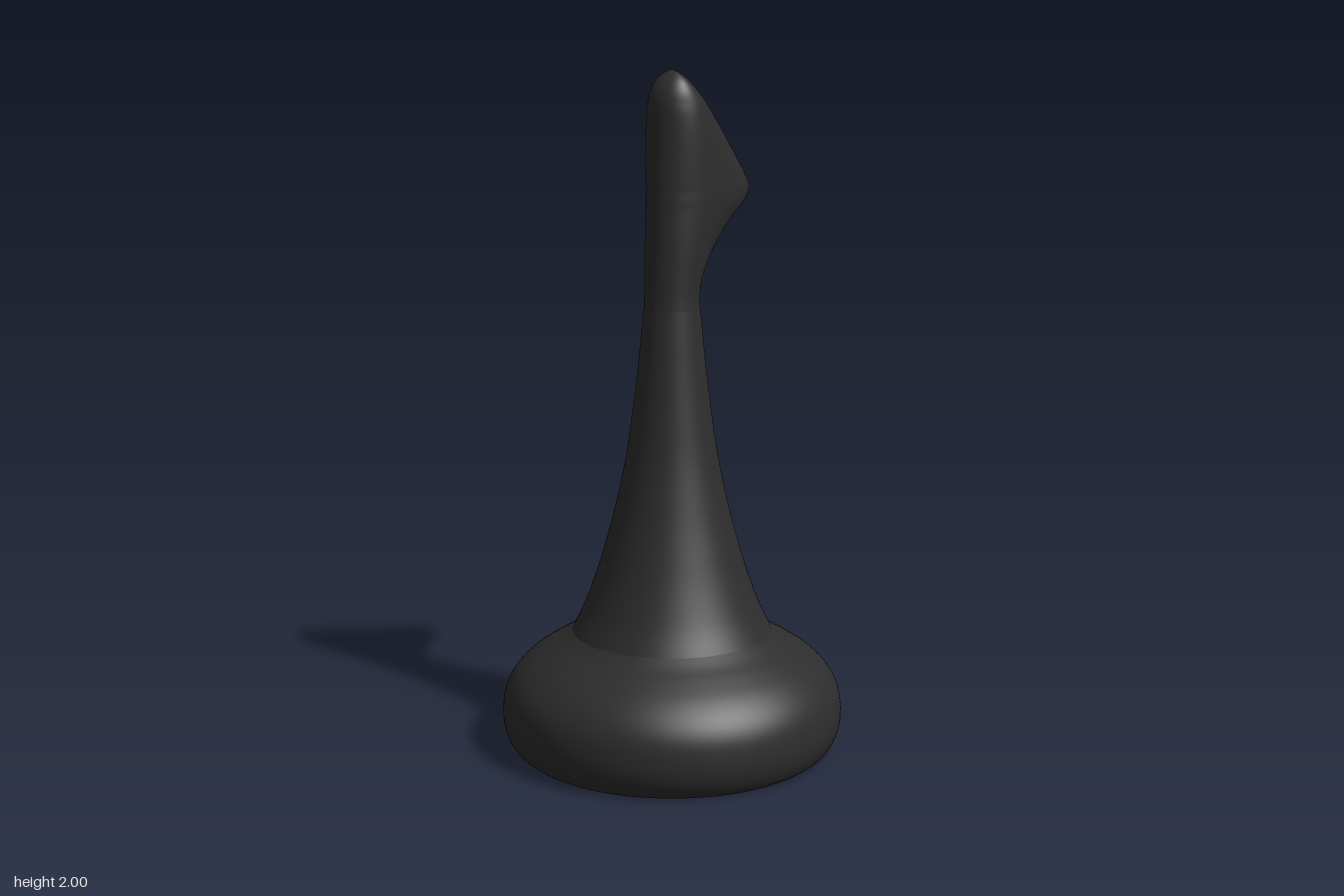
import * as THREE from 'three';

const black = new THREE.MeshStandardMaterial({ color: 0x2d2d2d });
black.name = 'matte black';

// Revolved part with a smooth profile of [radius, height] points
function turned(name, profile, foot = []) {
  const curve = new THREE.SplineCurve(profile.map(p => new THREE.Vector2(...p)));
  const points = [...foot.map(p => new THREE.Vector2(...p)), ...curve.getPoints(48)];
  const mesh = new THREE.Mesh(new THREE.LatheGeometry(points, 96), black);
  mesh.name = name;
  return mesh;
}

// Egg-shaped rings stacked upward: [y, front z, back z, half width]
function buildHead() {
  const sections = [
    [1.31, 0.082, -0.082, 0.082], [1.36, 0.079, -0.08, 0.081],
    [1.41, 0.077, -0.09, 0.084], [1.46, 0.075, -0.121, 0.088],
    [1.52, 0.073, -0.178, 0.092], [1.57, 0.071, -0.24, 0.095],
    [1.61, 0.07, -0.298, 0.097], [1.635, 0.07, -0.32, 0.098],
    [1.66, 0.069, -0.325, 0.098], [1.69, 0.069, -0.306, 0.098],
    [1.76, 0.067, -0.247, 0.097], [1.84, 0.066, -0.172, 0.093],
    [1.9, 0.064, -0.112, 0.085], [1.94, 0.055, -0.072, 0.072],
    [1.97, 0.038, -0.04, 0.053], [1.99, 0.018, -0.015, 0.028],
    [2.0, 0.005, 0.001, 0.003],
  ];
  const spine = new THREE.CatmullRomCurve3(sections.map(s => new THREE.Vector3(s[1], s[0], s[2])));
  const girth = new THREE.CatmullRomCurve3(sections.map(s => new THREE.Vector3(s[3], s[0], 0)));
  const rings = 80, sides = 64;
  const positions = [], index = [];
  for (let i = 0; i <= rings; i++) {
    const t = i / rings;
    const p = spine.getPoint(t);
    const width = girth.getPoint(t).x;
    const front = p.x, back = p.z;
    // The widest line sits a little ahead of the ring's middle
    const middle = front - (front - back) * 0.5 + Math.max(0, front - back - 0.17) * 0.35;
    for (let j = 0; j < sides; j++) {
      const a = (j / sides) * Math.PI * 2;
      const c = Math.cos(a);
      const z = middle + c * (c > 0 ? front - middle : middle - back);
      positions.push(Math.sin(a) * width, p.y, z);
    }
  }
  for (let i = 0; i < rings; i++) {
    for (let j = 0; j < sides; j++) {
      const a = i * sides + j, b = i * sides + (j + 1) % sides;
      index.push(a, b, b + sides, a, b + sides, a + sides);
    }
  }
  // Close the tip
  const tip = positions.length / 3;
  positions.push(0, 2, 0.003);
  for (let j = 0; j < sides; j++) {
    index.push(rings * sides + j, rings * sides + (j + 1) % sides, tip);
  }
  const geometry = new THREE.BufferGeometry();
  geometry.setAttribute('position', new THREE.Float32BufferAttribute(positions, 3));
  geometry.setIndex(index);
  geometry.computeVertexNormals();
  const mesh = new THREE.Mesh(geometry, black);
  mesh.name = 'slantedHead';
  return mesh;
}

export function createModel() {
  const model = new THREE.Group();
  model.name = 'gamePiece';

  // Bulging foot
  model.add(turned('base', [
    [0.457, 0.003], [0.48, 0.023], [0.5, 0.065], [0.506, 0.115], [0.498, 0.175],
    [0.473, 0.225], [0.43, 0.27], [0.375, 0.308], [0.33, 0.335], [0.295, 0.36],
  ]));

  // Flat underside
  const underside = new THREE.Mesh(new THREE.CircleGeometry(0.457, 96), black);
  underside.name = 'underside';
  underside.rotation.x = Math.PI / 2;
  underside.position.y = 0.003;
  model.add(underside);

  // Tapering stem
  model.add(turned('stem', [
    [0.297, 0.358], [0.262, 0.43], [0.228, 0.52], [0.2, 0.61], [0.168, 0.73],
    [0.136, 0.88], [0.115, 1.02], [0.099, 1.15], [0.088, 1.26], [0.082, 1.32],
  ]));

  model.add(buildHead());
  return model;
}
